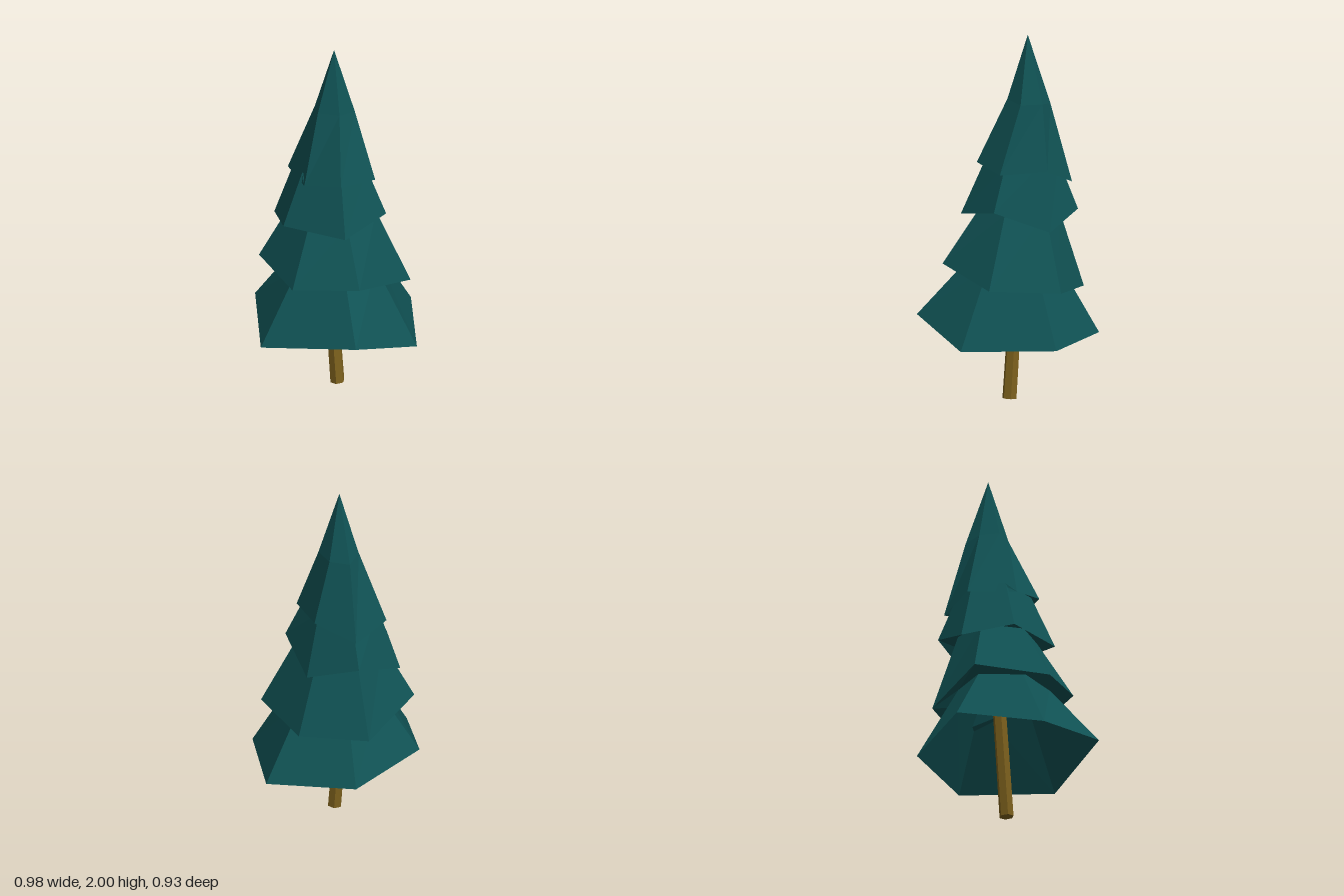
import * as THREE from 'three';

const leafMaterial = new THREE.MeshStandardMaterial({ color: 0x10525a, flatShading: true, side: THREE.DoubleSide });
leafMaterial.color.set(0x105254);
const barkMaterial = new THREE.MeshStandardMaterial({ color: 0x7d611d, flatShading: true });

// Six rim points of each skirt of branches, starting at the right and going round the back
const rims = [
  [[-0.49, 0.365, -0.145], [-0.14, 0.44, -0.465], [0.31, 0.37, -0.355], [0.49, 0.34, 0.11], [0.105, 0.325, 0.46], [-0.335, 0.47, 0.39]],
  [[-0.385, 0.72, -0.01], [-0.2, 0.73, -0.39], [0.185, 0.61, -0.355], [0.375, 0.625, -0.025], [0.2, 0.655, 0.34], [-0.21, 0.755, 0.315]],
  [[-0.27, 1.015, -0.165], [-0.08, 0.95, -0.38], [0.2, 1.04, -0.3], [0.29, 0.95, -0.02], [0.12, 1.063, 0.235], [-0.19, 1.02, 0.2]],
  [[-0.195, 1.26, -0.08], [-0.05, 1.24, -0.31], [0.185, 1.19, -0.27], [0.245, 1.275, -0.04], [0.1, 1.26, 0.175], [-0.14, 1.3, 0.13]],
];

// Upper end of the lower three skirts: centre x, height, centre z, shrink factor
const necks = [
  [0, 0.76, -0.03, 0.5],
  [0.03, 1.05, -0.07, 0.56],
  [0.04, 1.31, -0.06, 0.63],
];

// Slight bulge ring below the tip
const bulge = [[-0.065, 1.65, -0.09], [0.01, 1.64, -0.17], [0.11, 1.62, -0.18], [0.16, 1.63, -0.08], [0.105, 1.63, 0.03], [-0.015, 1.65, 0.02]];
const tip = [0.05, 2, -0.07];

// Joins rings of equal length into one faceted surface
function loft(rings) {
  const count = rings[0].length;
  const index = [];
  for (let r = 0; r < rings.length - 1; r++) {
    for (let i = 0; i < count; i++) {
      const j = (i + 1) % count;
      const a = r * count + j, b = r * count + i;
      index.push(a, b, b + count, a, b + count, a + count);
    }
  }
  const geometry = new THREE.BufferGeometry();
  geometry.setAttribute('position', new THREE.Float32BufferAttribute(rings.flat(2), 3));
  geometry.setIndex(index);
  const faceted = geometry.toNonIndexed();
  faceted.computeVertexNormals();
  return faceted;
}

export function createModel() {
  const tree = new THREE.Group();
  tree.name = 'pineTree';

  // Foliage: each skirt narrows to a neck, then steps out to the next rim
  const rings = [];
  rims.forEach((rim, k) => {
    rings.push(rim);
    if (!necks[k]) return;
    const [cx, y, cz, s] = necks[k];
    rings.push(rim.map(([x, , z]) => [cx + (x - cx) * s, y, cz + (z - cz) * s]));
  });
  rings.push(bulge, bulge.map(() => tip));
  const foliage = new THREE.Mesh(loft(rings), leafMaterial);
  foliage.name = 'foliage';
  tree.add(foliage);

  // Trunk: a leaning six-sided post
  const base = new THREE.Vector3(-0.015, 0.005, 0.005);
  const top = new THREE.Vector3(-0.015, 0.72, -0.055);
  const lean = top.clone().sub(base);
  const trunk = new THREE.Mesh(new THREE.CylinderGeometry(0.037, 0.04, lean.length(), 6), barkMaterial);
  trunk.name = 'trunk';
  trunk.position.copy(base).add(top).multiplyScalar(0.5);
  trunk.quaternion.setFromUnitVectors(new THREE.Vector3(0, 1, 0), lean.normalize());
  tree.add(trunk);

  return tree;
}
